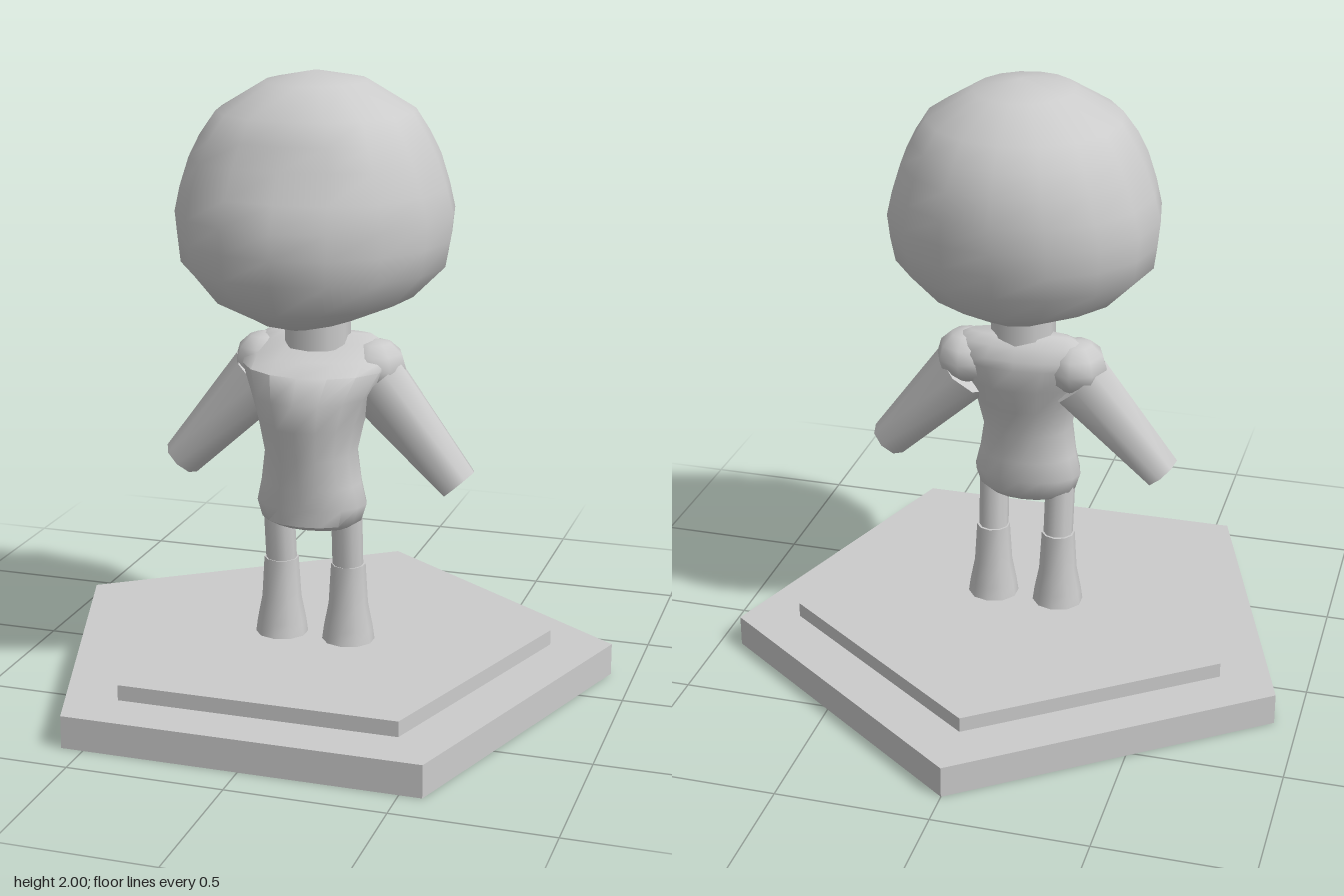
import * as THREE from 'three';
import { toCreasedNormals } from 'three/addons/utils/BufferGeometryUtils.js';

const material = new THREE.MeshStandardMaterial({ color: 0xcccccc });

function addMesh(parent, name, geometry) {
  const mesh = new THREE.Mesh(geometry, material);
  mesh.name = name;
  parent.add(mesh);
  return mesh;
}

// Closed skin over rings [y, halfWidth, zFront, zBack, zWidest], bottom to top.
function loft(rings, sides, shape = (p) => p, crease = 0.9) {
  const pos = [];
  const index = [];
  const push = (x, y, z) => {
    const p = shape(new THREE.Vector3(x, y, z));
    pos.push(p.x, p.y, p.z);
  };
  for (const [y, w, front, back, mid] of rings) {
    for (let j = 0; j < sides; j++) {
      const a = (j / sides) * Math.PI * 2;
      const c = Math.cos(a);
      push(Math.sin(a) * w, y, mid + c * (c > 0 ? front - mid : mid - back));
    }
  }
  const last = rings.length - 1;
  for (let i = 0; i < last; i++) {
    for (let j = 0; j < sides; j++) {
      const k = (j + 1) % sides;
      const a = i * sides + j, b = i * sides + k;
      index.push(a, b, b + sides, a, b + sides, a + sides);
    }
  }
  // End caps
  const bottom = rings.length * sides;
  for (const r of [rings[0], rings[last]]) push(0, r[0], (r[2] + r[3]) / 2);
  for (let j = 0; j < sides; j++) {
    const k = (j + 1) % sides;
    index.push(bottom, k, j, bottom + 1, last * sides + j, last * sides + k);
  }
  const g = new THREE.BufferGeometry();
  g.setAttribute('position', new THREE.Float32BufferAttribute(pos, 3));
  g.setIndex(index);
  return toCreasedNormals(g, crease);
}

// Tapered limb segment between two points
function limb(from, to, r0, r1, sides) {
  const axis = to.clone().sub(from);
  const g = new THREE.CylinderGeometry(r1, r0, axis.length(), sides);
  g.applyQuaternion(new THREE.Quaternion().setFromUnitVectors(
    new THREE.Vector3(0, 1, 0), axis.clone().normalize()));
  const mid = from.clone().add(to).multiplyScalar(0.5);
  return g.translate(mid.x, mid.y, mid.z);
}

export function createModel() {
  const model = new THREE.Group();
  model.name = 'figurine';

  // Two-step pentagonal stand
  for (const [name, r, y0, y1] of [['lowerBase', 0.972, 0, 0.105], ['upperBase', 0.768, 0.105, 0.155]]) {
    const g = new THREE.CylinderGeometry(r, r, y1 - y0, 5, 1, false, Math.PI);
    addMesh(model, name, toCreasedNormals(g.translate(0, (y0 + y1) / 2, 0.092), 0.5));
  }

  // Head, with the upper face trimmed to a gently curved sloping panel
  const head = [
    [1.225, 0.07, 0.32, 0.05, 0.15],
    [1.25, 0.17, 0.41, -0.1, 0.14],
    [1.31, 0.32, 0.5, -0.2, 0.12],
    [1.41, 0.42, 0.555, -0.275, 0.11],
    [1.49, 0.432, 0.56, -0.295, 0.1],
    [1.57, 0.44, 0.565, -0.31, 0.1],
    [1.65, 0.42, 0.565, -0.307, 0.1],
    [1.74, 0.39, 0.545, -0.295, 0.1],
    [1.81, 0.355, 0.51, -0.26, 0.1],
    [1.88, 0.31, 0.43, -0.215, 0.1],
    [1.97, 0.16, 0.28, -0.08, 0.1],
    [2.0, 0.01, 0.11, 0.09, 0.1],
  ];
  addMesh(model, 'head', loft(head, 16, (p) => {
    if (p.y > 1.5) p.z = Math.min(p.z, 0.41 + (1.88 - p.y) * 0.48 - 0.9 * p.x * p.x);
    return p;
  }));

  // Neck
  addMesh(model, 'neck', new THREE.CylinderGeometry(0.105, 0.105, 0.2, 10).translate(0, 1.23, 0.09));

  // Torso: flared hem, narrow waist, wide shoulders set towards the back
  addMesh(model, 'torso', loft([
    [0.55, 0.13, 0.23, 0.07, 0.15],
    [0.575, 0.165, 0.28, 0.05, 0.15],
    [0.63, 0.182, 0.285, 0.035, 0.15],
    [0.7, 0.165, 0.295, 0.035, 0.15],
    [0.8, 0.15, 0.31, 0.03, 0.15],
    [0.9, 0.17, 0.335, 0.0, 0.14],
    [0.99, 0.2, 0.35, -0.035, 0.12],
    [1.07, 0.245, 0.31, -0.045, 0.08],
    [1.1, 0.25, 0.22, -0.04, 0.06],
    [1.14, 0.215, 0.14, -0.02, 0.055],
    [1.165, 0.17, 0.1, 0.01, 0.05],
  ], 16));

  for (const [side, s] of [['left', 1], ['right', -1]]) {
    const v = (x, y, z) => new THREE.Vector3(x * s, y, z);

    // Arm: sleeve tapering to a blunt end
    const arm = limb(v(0.195, 1.01, 0.075), v(0.47, 0.707, 0.09), 0.108, 0.066, 8);
    addMesh(model, side + 'Arm', toCreasedNormals(arm, 0.9));

    // Rounded shoulder over the arm joint
    const shoulder = new THREE.SphereGeometry(1, 8, 6).scale(0.1, 0.09, 0.11);
    addMesh(model, side + 'Shoulder', shoulder.translate(0.185 * s, 1.065, 0.065));

    // Upper leg, leaning slightly forward
    addMesh(model, side + 'UpperLeg', limb(v(0.113, 0.39, 0.124), v(0.115, 0.64, 0.15), 0.05, 0.05, 10));

    // Boot flaring out to the sole
    const boot = loft([
      [0.155, 0.086, 0.205, 0.04, 0.122],
      [0.2, 0.08, 0.198, 0.047, 0.122],
      [0.28, 0.064, 0.188, 0.058, 0.123],
      [0.415, 0.056, 0.18, 0.068, 0.124],
    ], 10);
    addMesh(model, side + 'Boot', boot.translate(0.114 * s, 0, 0));
  }

  return model;
}
